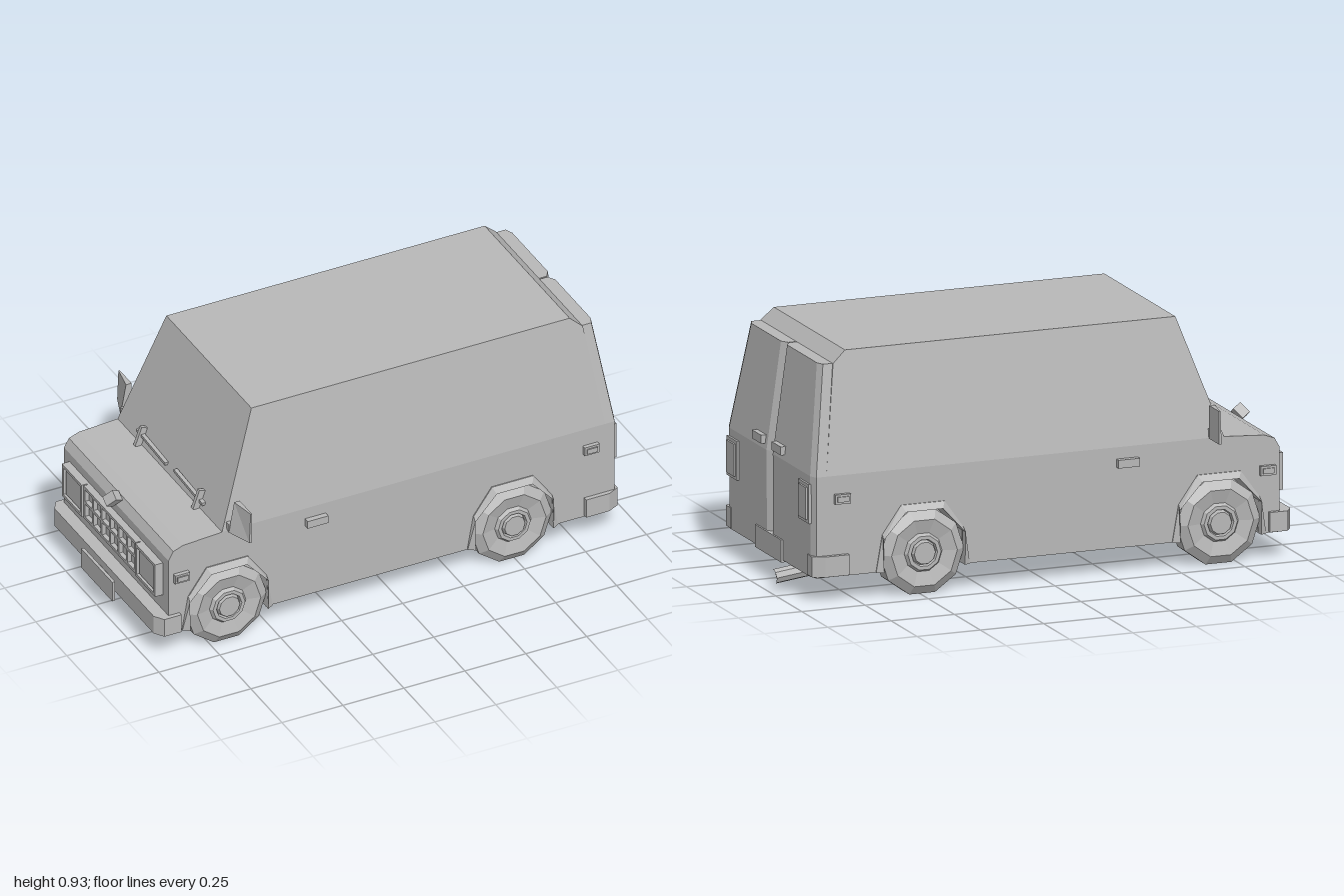
import * as THREE from 'three';

const grey = new THREE.MeshStandardMaterial({ color: 0xb8b8b8, flatShading: true });
grey.name = 'plain grey';

// Joins convex loops of [x, y, z] points into a closed solid facing outward.
function loft(loops) {
  const n = loops[0].length, tris = [];
  for (let i = 0; i + 1 < loops.length; i++) {
    for (let j = 0; j < n; j++) {
      const k = (j + 1) % n, a = loops[i], b = loops[i + 1];
      tris.push([a[j], a[k], b[k]], [a[j], b[k], b[j]]);
    }
  }
  const first = loops[0], last = loops[loops.length - 1];
  for (let j = 1; j < n - 1; j++) {
    tris.push([first[0], first[j + 1], first[j]], [last[0], last[j], last[j + 1]]);
  }
  const o = new THREE.Vector3(...first[0]);
  let volume = 0;
  for (const t of tris) {
    const [a, b, c] = t.map(p => new THREE.Vector3(...p).sub(o));
    volume += a.dot(b.cross(c));
  }
  if (volume < 0) tris.forEach(t => t.reverse());
  const g = new THREE.BufferGeometry();
  g.setAttribute('position', new THREE.Float32BufferAttribute(tris.flat(2), 3));
  g.computeVertexNormals();
  return g;
}

export function createModel() {
  const van = new THREE.Group();
  van.name = 'van';
  const add = (name, geo, parent = van) => {
    const m = new THREE.Mesh(geo, grey);
    m.name = name;
    parent.add(m);
    return m;
  };
  // Box given by its ranges on each axis
  const box = (name, x0, x1, y0, y1, z0, z1) => {
    const m = add(name, new THREE.BoxGeometry(x1 - x0, y1 - y0, Math.abs(z1 - z0)));
    m.position.set((x0 + x1) / 2, (y0 + y1) / 2, (z0 + z1) / 2);
    return m;
  };
  const axles = [-0.68, 0.49];
  const archAngles = [202, 160, 115, 65, 20, -22].map(a => a * Math.PI / 180);
  const archPoint = (cx, a) => [cx + 0.172 * Math.cos(a), 0.165 + 0.172 * Math.sin(a)];

  // Lower body: solid core plus side panels with wheel openings
  const profile = arches => {
    const s = new THREE.Shape();
    s.moveTo(-0.92, 0.1);
    if (arches) {
      for (const cx of axles) {
        archAngles.forEach((a, i) => {
          const [x, y] = archPoint(cx, a);
          s.lineTo(x, i === 0 || i === 5 ? 0.1 : y);
        });
      }
    }
    [[0.87, 0.1], [0.87, 0.48], [-0.7, 0.48], [-0.86, 0.47], [-0.9, 0.455], [-0.92, 0.42]]
      .forEach(p => s.lineTo(...p));
    return s;
  };
  const slab = (name, arches, z0, z1) => {
    const g = new THREE.ExtrudeGeometry(profile(arches), { depth: z1 - z0, bevelEnabled: false });
    add(name, g.translate(0, 0, z0));
  };
  slab('bodyCore', false, -0.31, 0.31);
  slab('leftSidePanel', true, 0.31, 0.42);
  slab('rightSidePanel', true, -0.42, -0.31);

  // Cabin tapering to the roof
  const rect = (y, x0, x1, z) => [[x0, y, -z], [x1, y, -z], [x1, y, z], [x0, y, z]];
  add('cabin', loft([
    rect(0.48, -0.7, 0.87, 0.42), rect(0.885, -0.556, 0.815, 0.35), rect(0.93, -0.54, 0.765, 0.342),
  ]));

  // Front bumper and number plate
  const bumperLoop = y => [
    [-0.875, y, -0.437], [-0.945, y, -0.437], [-0.97, y, -0.4],
    [-0.97, y, 0.4], [-0.945, y, 0.437], [-0.875, y, 0.437],
  ];
  add('frontBumper', loft([bumperLoop(0.105), bumperLoop(0.18)]));
  box('frontPlate', -1, -0.988, 0.092, 0.175, -0.125, 0.125);
  box('frontPlateMount', -0.99, -0.96, 0.12, 0.15, -0.03, 0.03);

  // Grille: backing, frame and lattice between the headlights
  box('grillePanel', -0.93, -0.91, 0.245, 0.385, -0.37, 0.37);
  for (const y of [0.245, 0.311, 0.373]) {
    box('grilleRail', -0.947, -0.92, y, y + 0.012, -0.21, 0.21);
  }
  for (let i = 0; i <= 6; i++) {
    const z = -0.204 + i * 0.068;
    box('grilleBar', -0.947, -0.92, 0.245, 0.385, z - 0.006, z + 0.006);
  }

  // Bonnet ornament
  const ornament = box('bonnetOrnament', -0.955, -0.915, 0.425, 0.475, -0.02, 0.02);
  ornament.rotation.set(0.6, 0, -0.6);

  for (const s of [1, -1]) {
    const side = s > 0 ? 'left' : 'right';
    // Headlight with raised frame
    box(side + 'Headlight', -0.945, -0.92, 0.262, 0.368, s * 0.235, s * 0.355);
    for (const y of [0.245, 0.373]) {
      box(side + 'HeadlightRim', -0.952, -0.92, y, y + 0.012, s * 0.215, s * 0.375);
    }
    for (const z of [0.215, 0.363]) {
      box(side + 'HeadlightRim', -0.952, -0.92, 0.245, 0.385, s * z, s * (z + 0.012));
    }

    // Windscreen wiper
    const wiper = box(side + 'Wiper', -0.703, -0.688, 0.51, 0.522, s * 0.035, s * 0.265);
    wiper.rotation.x = 0.06;
    const arm = box(side + 'WiperArm', -0.715, -0.69, 0.475, 0.555, s * 0.225, s * 0.24);
    arm.rotation.z = -0.35;

    // Wedge-shaped mirror on a short stub
    const mirrorLoop = (z, w) => [
      [-0.635 - w, 0.482, s * z], [-0.635, 0.482, s * z],
      [-0.635, 0.607, s * z], [-0.635 - w * 0.5, 0.607, s * z],
    ];
    add(side + 'Mirror', loft([mirrorLoop(0.435, 0.046), mirrorLoop(0.532, 0.01)]));
    box(side + 'MirrorStub', -0.68, -0.64, 0.484, 0.515, s * 0.405, s * 0.437);

    // Side handles and marker lamps
    box(side + 'DoorHandle', -0.36, -0.275, 0.405, 0.436, s * 0.415, s * 0.442);
    for (const [x, y] of [[-0.9, 0.32], [0.78, 0.375]]) {
      box(side + 'MarkerFrame', x, x + 0.06, y, y + 0.036, s * 0.415, s * 0.436);
      box(side + 'MarkerLamp', x + 0.008, x + 0.052, y + 0.008, y + 0.028, s * 0.43, s * 0.441);
    }

    // Rear door, slightly recessed towards the centre seam
    const doorLoop = (y, x0, x1, z) => [
      [x0, y, s * 0.003], [x1 - 0.018, y, s * 0.003], [x1, y, s * 0.03],
      [x1, y, s * (z - 0.03)], [x1 - 0.012, y, s * z], [x0, y, s * z],
    ];
    add(side + 'RearDoor', loft([
      doorLoop(0.1, 0.85, 0.92, 0.42), doorLoop(0.48, 0.85, 0.922, 0.42),
      doorLoop(0.885, 0.805, 0.865, 0.345),
    ]));
    box(side + 'RearDoorHandle', 0.9, 0.935, 0.5, 0.532, s * 0.05, s * 0.138);
    box(side + 'TailLampFrame', 0.9, 0.93, 0.302, 0.45, s * 0.295, s * 0.395);
    box(side + 'TailLamp', 0.92, 0.937, 0.315, 0.437, s * 0.308, s * 0.382);

    // Rear bumper corner
    const cornerLoop = y => [
      [0.785, y, s * 0.41], [0.785, y, s * 0.437], [0.88, y, s * 0.437],
      [0.925, y, s * 0.415], [0.925, y, s * 0.37], [0.88, y, s * 0.37],
    ];
    add(side + 'RearBumperCorner', loft([cornerLoop(0.105), cornerLoop(0.182)]));

    for (const cx of axles) {
      // Faceted wheel arch flare
      const outer = [[-0.185, 0.1], [-0.16, 0.24], [-0.085, 0.345], [0.085, 0.345], [0.16, 0.24], [0.185, 0.1]];
      add(side + 'WheelArch', loft(outer.map(([dx, y], i) => {
        const [ix, iy] = archPoint(cx, archAngles[i]);
        return [
          [cx + dx, y, s * 0.41], [cx + dx, y, s * 0.424],
          [ix, iy, s * 0.44], [ix, iy, s * 0.41],
        ];
      })));

      // Wheel with chamfered tyre, dished rim and hub
      const wheel = new THREE.LatheGeometry([
        [0, -0.055], [0.135, -0.055], [0.165, -0.035], [0.165, 0.035], [0.13, 0.058],
        [0.075, 0.045], [0.066, 0.058], [0.052, 0.058], [0.048, 0.045], [0.042, 0.062], [0, 0.062],
      ].map(p => new THREE.Vector2(...p)), 10);
      const m = add(side + 'Wheel', wheel.rotateY(Math.PI / 10).rotateX(s * Math.PI / 2));
      m.position.set(cx, 0.16, s * 0.38);
    }
  }

  // Rear number plate
  box('rearPlate', 0.9, 0.927, 0.092, 0.177, -0.123, 0.127);

  // Exhaust pipe emerging from under the floor
  const path = new THREE.CatmullRomCurve3([
    [0.6, 0.1], [0.75, 0.09], [0.88, 0.075], [0.985, 0.062],
  ].map(([x, y]) => new THREE.Vector3(x, y, -0.195)));
  const pipeMaterial = add('exhaustPipe', new THREE.TubeGeometry(path, 8, 0.028, 8));
  pipeMaterial.name = 'exhaustPipe';
  const cap = add('exhaustEnd', new THREE.CylinderGeometry(0.026, 0.026, 0.006, 8));
  cap.rotation.z = -Math.PI / 2 - 0.12;
  cap.position.set(0.965, 0.064, -0.195);

  return van;
}
